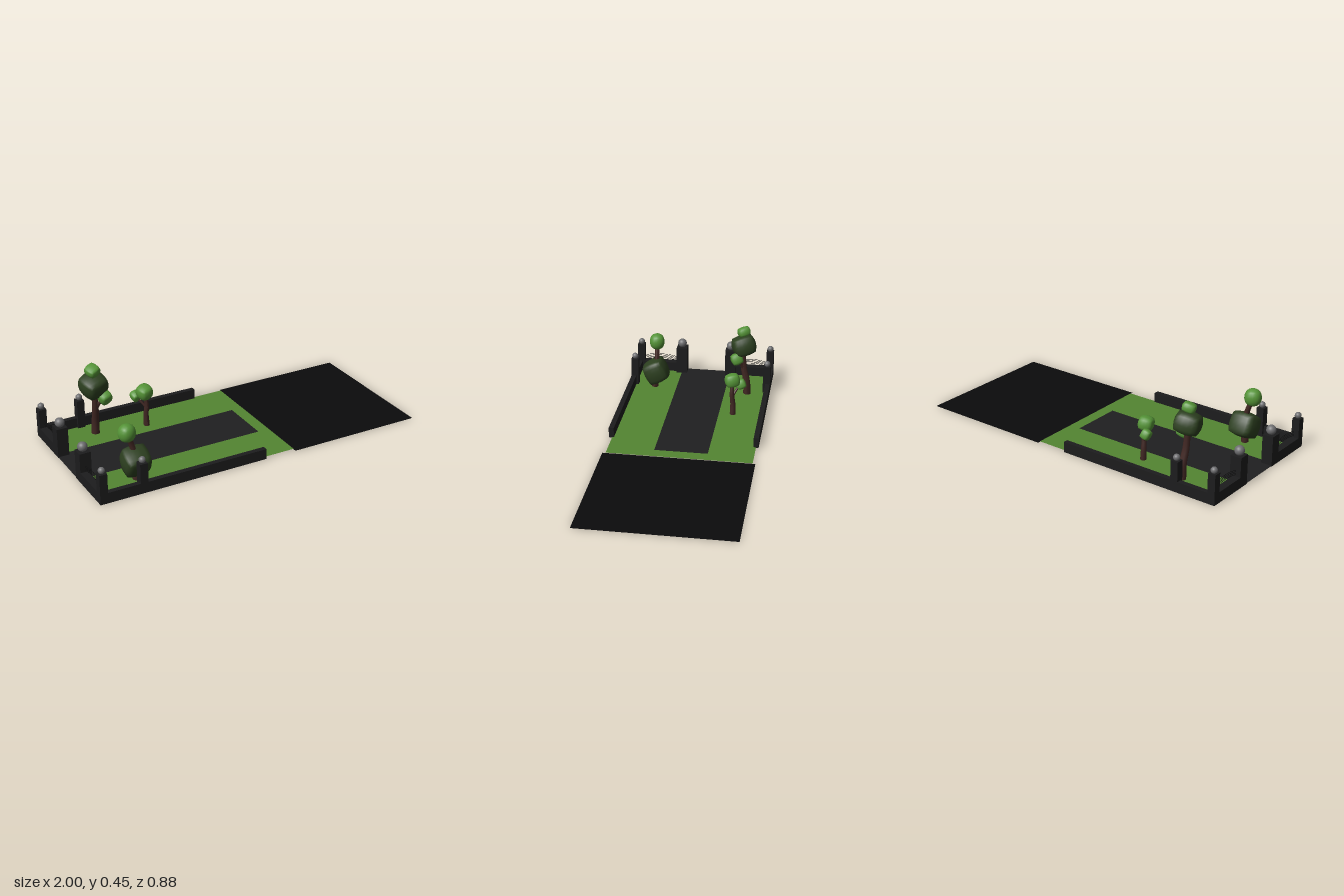
import * as THREE from 'three';
import { mergeVertices } from 'three/addons/utils/BufferGeometryUtils.js';

const mat = (color, side = THREE.FrontSide) => {
  const m = new THREE.MeshStandardMaterial({ side });
  m.color.set(color);
  return m;
};
const STONE = mat(0x1c1c1d), METAL = mat(0x0c0c0c), BALL = mat(0x6e6e70), BARK = mat(0x412723);
const LIGHT = mat(0x559437), DARK = mat(0x2d4020);

export function createModel() {
  const root = new THREE.Group();
  const add = (name, geo, material, x = 0, y = 0, z = 0, parent = root) => {
    const m = new THREE.Mesh(geo, material);
    m.name = name;
    m.position.set(x, y, z);
    parent.add(m);
    return m;
  };

  // Flat ground sheets
  const sheet = (name, x0, x1, z0, z1, y, color) =>
    add(name, new THREE.PlaneGeometry(x1 - x0, z1 - z0).rotateX(-Math.PI / 2),
      mat(color, THREE.DoubleSide), (x0 + x1) / 2, y, (z0 + z1) / 2);
  sheet('road', 0.19, 1, -0.44, 0.44, 0, 0x0b0b0c);
  sheet('lawn', -0.99, 0.19, -0.425, 0.42, 0.003, 0x548532);
  sheet('path', -1, 0.12, -0.16, 0.15, 0.0045, 0x1f1f20);

  // Square pillar with a ball on top
  const pillar = (name, x, z, w, r) => {
    const g = new THREE.Group();
    g.name = name;
    g.position.set(x, 0, z);
    root.add(g);
    add('pillarPost', new THREE.BoxGeometry(w, 0.175, w), STONE, 0, 0.0875, 0, g);
    add('pillarBall', new THREE.SphereGeometry(r, 20, 14), BALL, 0, 0.172 + r, 0, g);
  };

  // Low walls, pillars and arched railings on both sides of the entrance
  for (const s of [1, -1]) {
    const gateZ = s > 0 ? 0.15 : -0.165;
    add('sideWall', new THREE.BoxGeometry(1, 0.062, 0.03), STONE, -0.5, 0.031, s * 0.425);
    add('frontWall', new THREE.BoxGeometry(0.045, 0.062, 0.44 - Math.abs(gateZ)), STONE,
      -0.9775, 0.031, (s * 0.44 + gateZ) / 2);
    pillar('gatePillar', -0.967, gateZ, 0.066, 0.028);
    pillar('cornerPillar', -0.9775, s * 0.4175, 0.045, 0.019);
    pillar('sidePillar', -0.745, s * 0.4175, 0.045, 0.019);
    for (let i = 0; i < 4; i++) {
      const y = 0.07 + i * 0.009, z0 = gateZ + s * 0.03, z1 = s * 0.4;
      const arc = new THREE.QuadraticBezierCurve3(
        new THREE.Vector3(-0.97, y, z0),
        new THREE.Vector3(-0.97, y + 0.032, (z0 + z1) / 2),
        new THREE.Vector3(-0.97, y, z1));
      add('railing', new THREE.TubeGeometry(arc, 14, 0.0013, 5), METAL);
    }
  }

  // Curved trunk narrowing from r0 to r1
  const trunk = (name, points, r0, r1) => {
    const curve = new THREE.CatmullRomCurve3(points.map(p => new THREE.Vector3(...p)));
    const n = 12, sides = 9;
    const geo = new THREE.TubeGeometry(curve, n, 1, sides);
    const pos = geo.attributes.position, v = new THREE.Vector3();
    for (let i = 0; i < pos.count; i++) {
      const t = Math.floor(i / (sides + 1)) / n, c = curve.getPointAt(t);
      v.fromBufferAttribute(pos, i).sub(c).multiplyScalar(r0 + (r1 - r0) * t).add(c);
      pos.setXYZ(i, v.x, v.y, v.z);
    }
    geo.computeVertexNormals();
    add(name, geo, BARK);
  };

  // Leaf clump: a cube blended towards a sphere (round = 1 is a full sphere)
  const clump = (name, material, center, size, round, rot) => {
    let geo = new THREE.BoxGeometry(2, 2, 2, 5, 5, 5);
    geo.deleteAttribute('normal');
    geo.deleteAttribute('uv');
    geo = mergeVertices(geo);
    const pos = geo.attributes.position, v = new THREE.Vector3();
    for (let i = 0; i < pos.count; i++) {
      v.fromBufferAttribute(pos, i);
      const ball = v.clone().normalize();
      v.multiplyScalar(0.78).lerp(ball, round);
      pos.setXYZ(i, v.x, v.y, v.z);
    }
    geo.scale(...size);
    geo.computeVertexNormals();
    add(name, geo, material, ...center).rotation.set(...rot);
  };

  // Tree on the near lawn
  trunk('nearTrunk', [[-0.72, 0, 0.287], [-0.72, 0.1, 0.285], [-0.735, 0.2, 0.275], [-0.765, 0.28, 0.282]], 0.022, 0.013);
  clump('nearLowerLeaves', DARK, [-0.72, 0.11, 0.28], [0.088, 0.083, 0.083], 0.5, [0.48, 0, 0]);
  clump('nearUpperLeaves', LIGHT, [-0.765, 0.29, 0.28], [0.05, 0.053, 0.048], 0.95, [0, 0.3, 0]);

  // Tall tree on the far lawn
  trunk('tallTrunk', [[-0.7, 0, -0.3], [-0.7, 0.09, -0.295], [-0.705, 0.18, -0.275], [-0.71, 0.3, -0.27]], 0.024, 0.016);
  trunk('tallBranch', [[-0.704, 0.16, -0.28], [-0.69, 0.205, -0.26], [-0.665, 0.245, -0.235]], 0.013, 0.008);
  clump('tallCrown', DARK, [-0.712, 0.323, -0.272], [0.083, 0.071, 0.083], 0.6, [0.3, 0.3, 0.1]);
  clump('tallTop', LIGHT, [-0.715, 0.413, -0.27], [0.043, 0.033, 0.045], 0.6, [0.3, 0.4, 0.2]);
  clump('tallSideLeaves', LIGHT, [-0.662, 0.25, -0.235], [0.043, 0.042, 0.042], 0.6, [0.4, 0.3, 0.2]);

  // Small tree on the far lawn
  trunk('smallTrunk', [[-0.402, 0, -0.243], [-0.405, 0.07, -0.243], [-0.402, 0.14, -0.236], [-0.414, 0.21, -0.24]], 0.018, 0.011);
  trunk('smallBranch', [[-0.404, 0.12, -0.24], [-0.425, 0.15, -0.258], [-0.45, 0.18, -0.283]], 0.008, 0.006);
  clump('smallCrown', LIGHT, [-0.414, 0.222, -0.236], [0.048, 0.046, 0.05], 0.7, [0.2, 0.3, 0.1]);
  clump('smallSideLeaves', LIGHT, [-0.45, 0.183, -0.285], [0.031, 0.034, 0.034], 0.6, [0.4, 0.2, 0.3]);

  return root;
}
